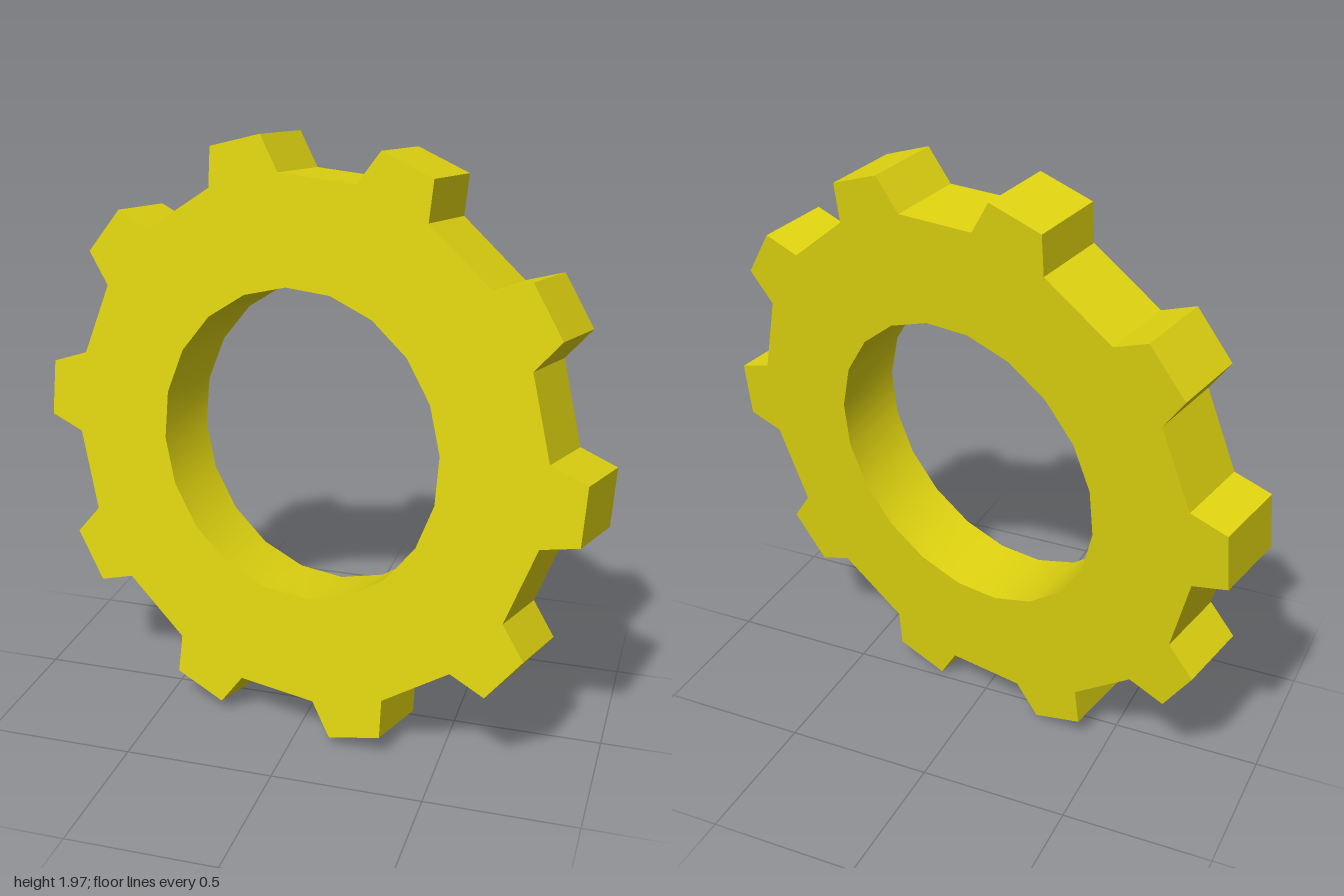
import * as THREE from 'three';
import { toCreasedNormals } from 'three/addons/utils/BufferGeometryUtils.js';

const TEETH = 10, TIP = 0.997, ROOT = 0.875, BORE = 0.515, DEPTH = 0.25;
const TIP_HALF = 0.097, ROOT_HALF = 0.153; // half angles of a tooth at tip and root
const PHASE = THREE.MathUtils.degToRad(-1.6);

const polar = (r, a) => new THREE.Vector2(r * Math.cos(a), r * Math.sin(a));

export function createModel() {
  const group = new THREE.Group();
  group.name = 'gear';

  // Toothed outline
  const outline = [];
  for (let i = 0; i < TEETH; i++) {
    const a = PHASE + (i * 2 * Math.PI) / TEETH;
    outline.push(
      polar(ROOT, a - ROOT_HALF), polar(TIP, a - TIP_HALF),
      polar(TIP, a + TIP_HALF), polar(ROOT, a + ROOT_HALF)
    );
  }
  const shape = new THREE.Shape(outline);

  // Round bore, twenty sides with smooth shading
  const bore = [];
  for (let i = 0; i < 20; i++) {
    bore.push(polar(BORE, PHASE + ((i + 0.5) * Math.PI) / 10));
  }
  shape.holes.push(new THREE.Path(bore));

  const extruded = new THREE.ExtrudeGeometry(shape, { depth: DEPTH, bevelEnabled: false });
  extruded.translate(0, 0, -DEPTH / 2);
  const wheel = new THREE.Mesh(
    toCreasedNormals(extruded, 0.4),
    new THREE.MeshStandardMaterial({ color: 0xe0d410 })
  );
  wheel.name = 'gearWheel';

  // The wheel leans back and is turned slightly to one side
  wheel.lookAt(-0.245, 0.11, 1);
  wheel.position.y = 1;
  group.add(wheel);
  return group;
}
